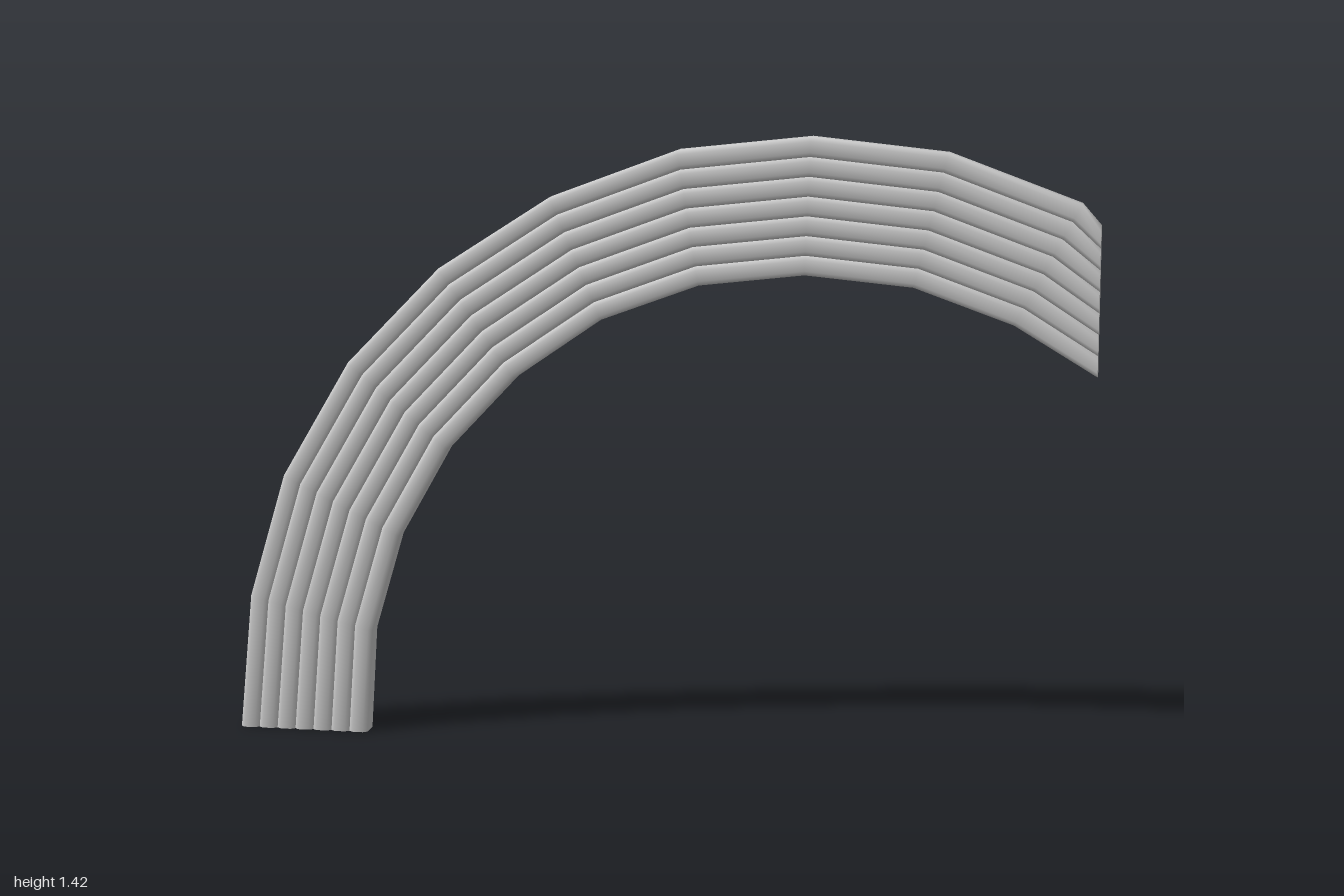
import * as THREE from 'three';

const BANDS = 7;
const HALF_DEPTH = 0.03;

// Inner and outer edge of the faceted arch, from the left foot to the cut end
const inner = [[-0.69, 0], [-0.674, 0.246], [-0.606, 0.476], [-0.487, 0.686], [-0.326, 0.857],
  [-0.123, 0.997], [0.102, 1.08], [0.343, 1.108], [0.588, 1.085], [0.813, 1.005], [1, 0.893]];
const outer = [[-1, 0], [-0.969, 0.32], [-0.882, 0.612], [-0.722, 0.883], [-0.503, 1.107],
  [-0.241, 1.275], [0.053, 1.385], [0.355, 1.418], [0.661, 1.386], [0.957, 1.277], [1, 1.228]];

// Bevelled band section: [share of band width, z], counter-clockwise
const section = [[0, -0.022], [0.22, -HALF_DEPTH], [0.78, -HALF_DEPTH], [1, -0.022],
  [1, 0.022], [0.78, HALF_DEPTH], [0.22, HALF_DEPTH], [0, 0.022]];

function bandGeometry(index) {
  const n = section.length;
  const last = inner.length - 1;
  const positions = [];
  const faces = [];
  const addRing = (i) => {
    for (const [w, z] of section) {
      const t = (index + w) / BANDS;
      positions.push(
        THREE.MathUtils.lerp(inner[i][0], outer[i][0], t),
        THREE.MathUtils.lerp(inner[i][1], outer[i][1], t), z);
    }
  };
  for (let i = 0; i <= last; i++) addRing(i);
  for (let i = 0; i < last; i++) {
    for (let j = 0; j < n; j++) {
      const a = i * n + j, b = i * n + (j + 1) % n;
      faces.push(a, b, b + n, a, b + n, a + n);
    }
  }
  // End caps with their own corners, so the ends stay crisp
  const foot = positions.length / 3;
  addRing(0);
  addRing(last);
  for (let j = 1; j < n - 1; j++) {
    faces.push(foot, foot + j + 1, foot + j);
    faces.push(foot + n, foot + n + j, foot + n + j + 1);
  }
  const geometry = new THREE.BufferGeometry();
  geometry.setAttribute('position', new THREE.Float32BufferAttribute(positions, 3));
  geometry.setIndex(faces);
  geometry.computeVertexNormals();
  return geometry;
}

export function createModel() {
  const model = new THREE.Group();
  model.name = 'bandedArch';
  const material = new THREE.MeshStandardMaterial({ color: 0xcccccc });

  // Nested arch bands, innermost first
  for (let i = 0; i < BANDS; i++) {
    const band = new THREE.Mesh(bandGeometry(i), material);
    band.name = `archBand${i + 1}`;
    model.add(band);
  }
  return model;
}
